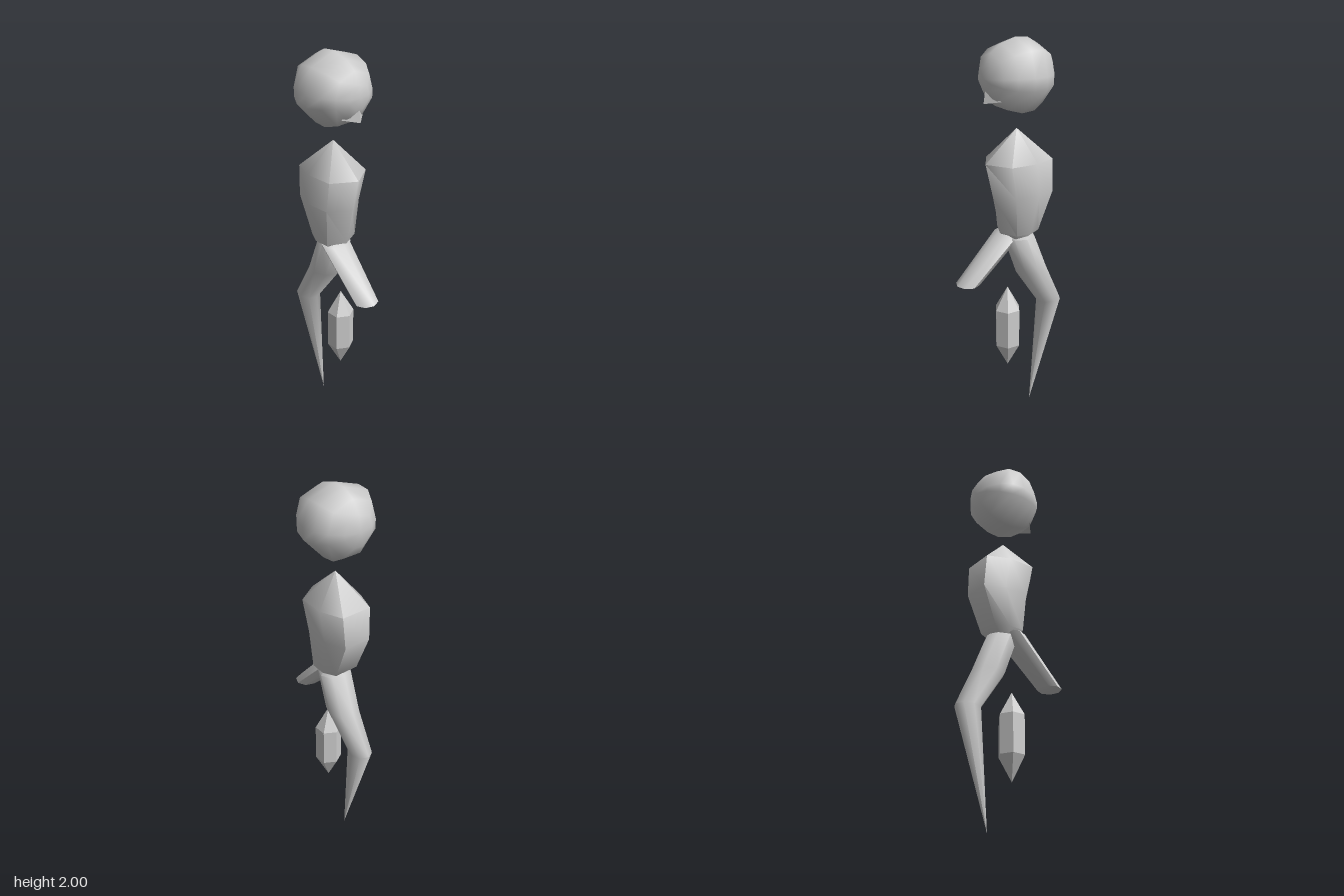
import * as THREE from 'three';
import { toCreasedNormals } from 'three/addons/utils/BufferGeometryUtils.js';

const grey = new THREE.MeshStandardMaterial({ color: 0xcccccc, side: THREE.DoubleSide });
const facetGrey = new THREE.MeshStandardMaterial({ color: 0xcccccc, flatShading: true });

// Closed skin over rings of [x, y, z] points, with a tip at each end
function loft(name, first, rings, last, crease = 1.1) {
  const n = rings[0].length;
  const points = [first, ...rings.flat(), last];
  const end = points.length - 1;
  const index = [];
  const at = (i, j) => 1 + i * n + (j % n);
  for (let j = 0; j < n; j++) {
    index.push(0, at(0, j + 1), at(0, j));
    for (let i = 0; i < rings.length - 1; i++) {
      index.push(at(i, j), at(i, j + 1), at(i + 1, j));
      index.push(at(i, j + 1), at(i + 1, j + 1), at(i + 1, j));
    }
    index.push(at(rings.length - 1, j), at(rings.length - 1, j + 1), end);
  }
  const geometry = new THREE.BufferGeometry();
  geometry.setAttribute('position', new THREE.Float32BufferAttribute(points.flat(), 3));
  geometry.setIndex(index);
  const mesh = new THREE.Mesh(toCreasedNormals(geometry, crease), grey);
  mesh.name = name;
  return mesh;
}

// Horizontal ring: a unit outline scaled by rx, rz about a centre
const ring = (outline, cx, cy, cz, rx, rz) =>
  outline.map(([u, v]) => [cx + u * rx, cy, cz + v * rz]);

const polygon = (n) => Array.from({ length: n }, (_, i) => {
  const a = (i / n) * Math.PI * 2;
  return [Math.cos(a), Math.sin(a)];
});

function createModel() {
  const model = new THREE.Group();

  // Head: rings from face to back of the skull
  const skull = [[-0.95, 0.35], [-0.29, 0.97], [0.06, 0.98], [0.73, 0.78], [0.99, 0],
    [0.73, -0.78], [0.06, -0.98], [-0.29, -0.97], [-0.95, -0.35]];
  const headRings = [[0.15, 0.06], [0.115, 0.118], [0.06, 0.158], [-0.02, 0.183],
    [-0.09, 0.178], [-0.15, 0.142], [-0.195, 0.08]]
    .map(([x, r]) => skull.map(([y, z]) => [x, 1.82 + y * r, z * r]));
  model.add(loft('head', [0.157, 1.82, 0], headRings, [-0.21, 1.82, 0], 1.4));

  // Nose: small wedge low on the face
  const nose = new THREE.Mesh(new THREE.BufferGeometry(), facetGrey);
  nose.name = 'nose';
  nose.geometry.setAttribute('position', new THREE.Float32BufferAttribute([
    0.145, 1.78, 0, 0.157, 1.7, 0, 0.1, 1.715, 0.07, 0.1, 1.715, -0.07], 3));
  nose.geometry.setIndex([0, 2, 1, 0, 1, 3, 1, 2, 3, 0, 3, 2]);
  nose.geometry.computeVertexNormals();
  model.add(nose);

  // Torso: pointed neck, broad shoulders, narrow waist
  const chest = [[1, 0], [0.55, 0.95], [-0.3, 1], [-1, 0.65],
    [-1, -0.65], [-0.3, -1], [0.55, -0.95]];
  model.add(loft('torso', [-0.03, 1.56, 0], [
    ring(chest, -0.02, 1.4, 0, 0.17, 0.128),
    ring(chest, -0.045, 1.23, 0, 0.155, 0.115),
    ring(chest, -0.025, 1.03, 0, 0.095, 0.1),
  ], [-0.01, 0.94, 0]));

  // Raised thigh, cut off flat at the knee
  const eight = polygon(8);
  model.add(loft('raisedThigh', [0, 1.06, 0.02], [
    ring(eight, 0, 1.02, 0.02, 0.075, 0.08),
    ring(eight, 0.245, 0.775, 0.03, 0.06, 0.065),
  ], [0.245, 0.77, 0.03], 0.95));

  // Standing leg, bent at the knee and tapering to a point
  model.add(loft('standingLeg', [-0.03, 1.08, -0.01], [
    ring(eight, -0.035, 1.0, -0.01, 0.085, 0.085),
    ring(eight, -0.11, 0.8, -0.015, 0.092, 0.08),
    ring(eight, -0.235, 0.59, 0, 0.07, 0.058),
  ], [-0.116, 0, 0]));

  // Separate six-sided shin crystal
  const crystal = new THREE.Mesh(new THREE.LatheGeometry(
    [[0, 0.26], [0.07, 0.39], [0.07, 0.595], [0, 0.72]].map(([r, y]) => new THREE.Vector2(r, y)),
    6, Math.PI / 2), facetGrey);
  crystal.position.x = 0.025;
  crystal.name = 'shinCrystal';
  model.add(crystal);

  return model;
}

export { createModel };
